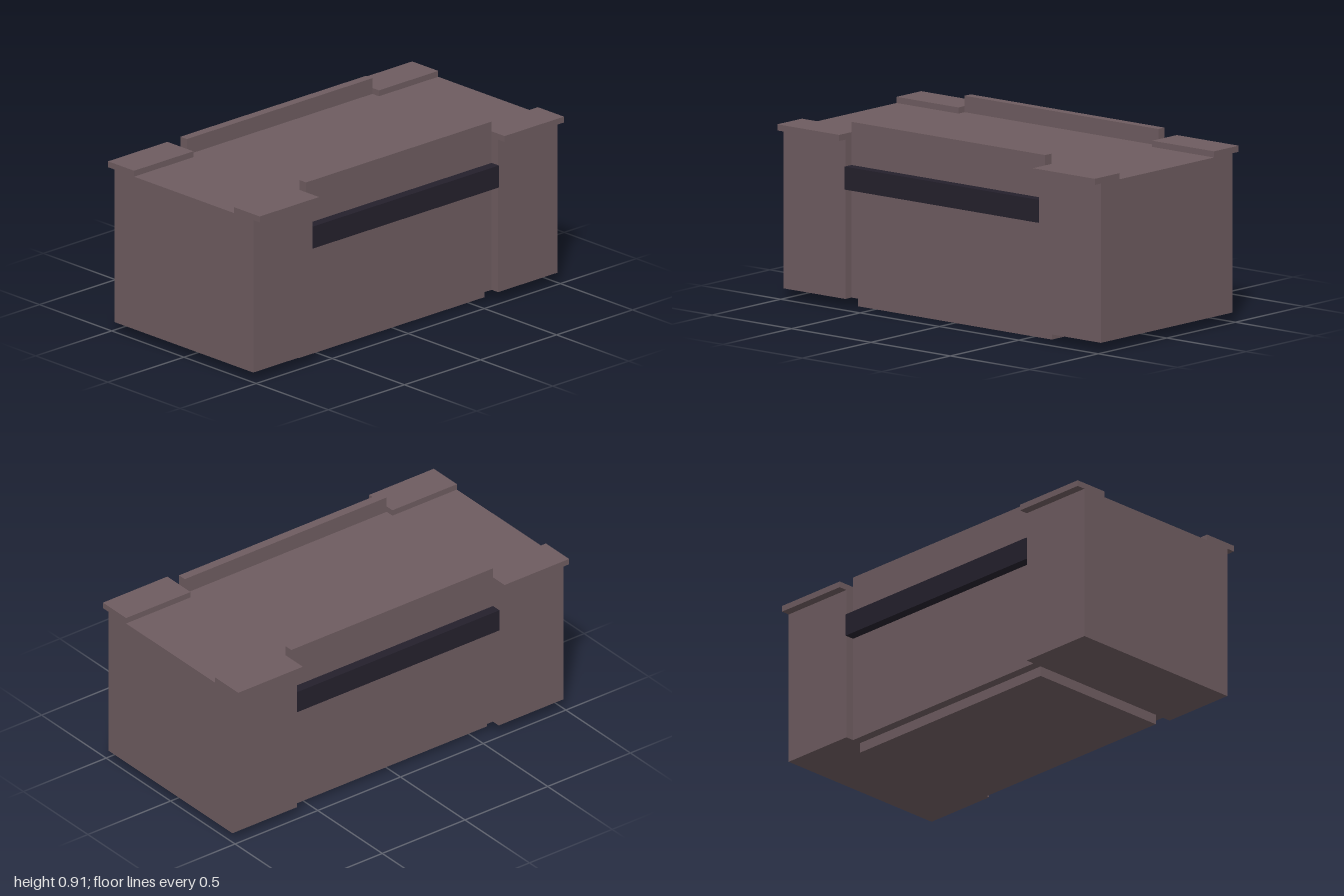
import * as THREE from 'three';

export function createModel() {
  const group = new THREE.Group();
  const shell = new THREE.MeshStandardMaterial({ color: 0x6e5c60 });
  const dark = new THREE.MeshStandardMaterial({ color: 0x24202c });

  // Box given by its extents on each axis
  function box(name, [x0, x1], [y0, y1], [z0, z1], material = shell) {
    const mesh = new THREE.Mesh(new THREE.BoxGeometry(x1 - x0, y1 - y0, z1 - z0), material);
    mesh.position.set((x0 + x1) / 2, (y0 + y1) / 2, (z0 + z1) / 2);
    mesh.name = name;
    group.add(mesh);
  }
  // Mirror a range to the chosen side
  const flip = (s, a, b) => (s > 0 ? [a, b] : [-b, -a]);

  const endZ = 0.61;
  const middle = [-endZ, endZ];

  // Central body and the raised plate beneath it
  box('centreBody', [-0.39, 0.39], [0.05, 0.825], middle);
  box('basePlate', [-0.387, 0.387], [0.003, 0.05], middle);
  box('baseFoot', [-0.387, 0.387], [0, 0.003], middle);

  // Wider blocks at the front and back
  for (const s of [1, -1]) {
    box(s > 0 ? 'frontBlock' : 'backBlock', [-0.48, 0.48], [0.05, 0.825], flip(s, endZ, 1));
  }

  for (const side of [1, -1]) {
    const label = side > 0 ? 'left' : 'right';
    // Side wall rising above the deck as a rail
    box(label + 'SideRail', flip(side, 0.39, 0.435), [0.05, 0.905], middle);
    // Dark strip along the side
    box(label + 'SideStrip', flip(side, 0.435, 0.485), [0.583, 0.695], middle, dark);
    // Overhanging corner plates
    for (const end of [1, -1]) {
      box(label + (end > 0 ? 'Front' : 'Back') + 'CornerPlate',
        flip(side, 0.345, 0.525), [0.825, 0.855], flip(end, endZ, 1));
    }
  }
  return group;
}
